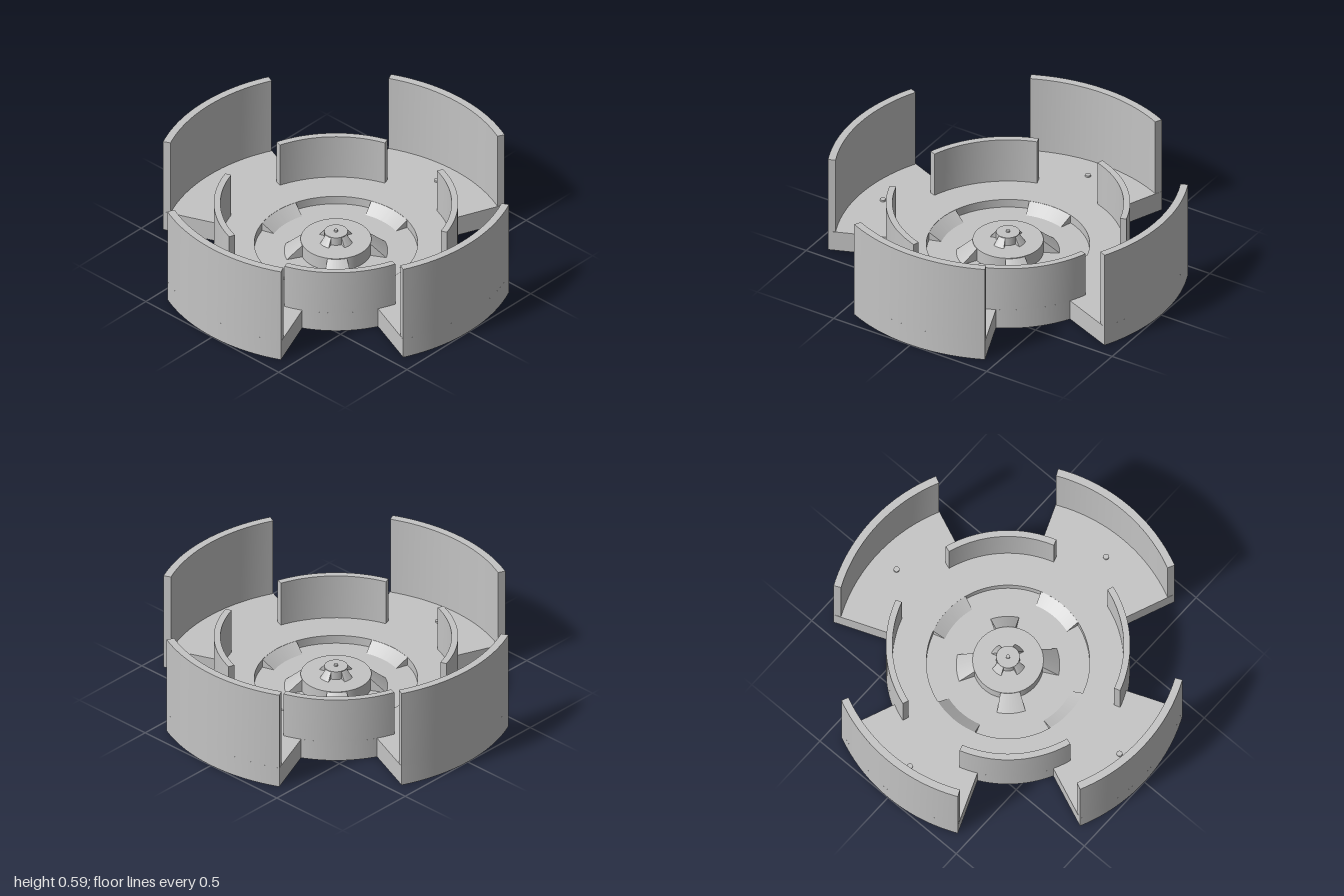
import * as THREE from 'three';
import { toCreasedNormals } from 'three/addons/utils/BufferGeometryUtils.js';

const RAD = Math.PI / 180;
const BASE_H = 0.12, FLOOR_H = 0.07, BOSS_H = 0.15, HUB_H = 0.2;

// Box bent around the y axis; the top may have different heights at its inner and outer edge
function bentBox(rIn, rOut, middle, half, y0, topIn, topOut, segments = 24) {
  const geo = new THREE.BoxGeometry(1, 1, 1, segments, 1, 1);
  const p = geo.attributes.position;
  for (let i = 0; i < p.count; i++) {
    const a = (middle + p.getX(i) * 2 * half) * RAD;
    const outer = p.getZ(i) > 0;
    const r = outer ? rOut : rIn;
    const y = p.getY(i) < 0 ? y0 : outer ? topOut : topIn;
    p.setXYZ(i, r * Math.sin(a), y, r * Math.cos(a));
  }
  return toCreasedNormals(geo, 30 * RAD);
}

function baseGeometry() {
  const shape = new THREE.Shape();
  const hole = new THREE.Path();
  for (let k = 0; k < 4; k++) {
    const m = k * 90;
    // flared arm end, then the round body up to the next arm
    shape.absarc(0, 0, 1, (m - 25.3) * RAD, (m + 25.3) * RAD, false);
    shape.absarc(0, 0, 0.673, (m + 26.9) * RAD, (m + 63.1) * RAD, false);
    hole.absarc(0, 0, 0.45, m * RAD, (m + 90) * RAD, false);
  }
  shape.closePath();
  shape.holes.push(hole);
  const geo = new THREE.ExtrudeGeometry(shape, { depth: BASE_H, bevelEnabled: false, curveSegments: 24 });
  geo.rotateX(-Math.PI / 2);
  return toCreasedNormals(geo, 20 * RAD);
}

export function createModel() {
  const group = new THREE.Group();
  const grey = new THREE.MeshStandardMaterial({ color: 0xc4c4c4 });
  grey.name = 'light grey';

  const add = (name, geo) => {
    const mesh = new THREE.Mesh(geo, grey);
    mesh.name = name;
    group.add(mesh);
    return mesh;
  };
  const disc = (name, r, y0, y1, x = 0, z = 0, sides = 96) =>
    add(name, new THREE.CylinderGeometry(r, r, y1 - y0, sides)).position.set(x, (y0 + y1) / 2, z);

  // Cross-shaped base with a round recess
  add('base', baseGeometry());
  disc('recessFloor', 0.45, 0, FLOOR_H);

  // Stepped centre
  disc('boss', 0.195, FLOOR_H, BOSS_H);
  disc('hub', 0.065, BOSS_H, HUB_H, 0, 0, 48);
  disc('centrePin', 0.011, HUB_H, HUB_H + 0.01, 0, 0, 24);

  for (let k = 0; k < 4; k++) {
    const axis = k * 90, diagonal = axis + 45;
    // Walls
    add('outerWall', bentBox(0.957, 1, axis, 25.3, BASE_H, 0.59, 0.59));
    add('innerWall', bentBox(0.637, 0.673, diagonal, 27, BASE_H, 0.39, 0.39));
    // Ramps joining the levels
    add('recessRamp', bentBox(0.38, 0.452, axis, 17.5, FLOOR_H, FLOOR_H, BASE_H));
    add('bossRamp', bentBox(0.19, 0.285, diagonal, 16, FLOOR_H, BOSS_H, FLOOR_H));
    add('hubRamp', bentBox(0.062, 0.1, axis, 19, BOSS_H, HUB_H, BOSS_H, 8));
    // Small pin on each arm
    disc('armPin', 0.016, BASE_H, 0.13, 0.818 * Math.sin(axis * RAD), 0.818 * Math.cos(axis * RAD), 24);
  }
  return group;
}
